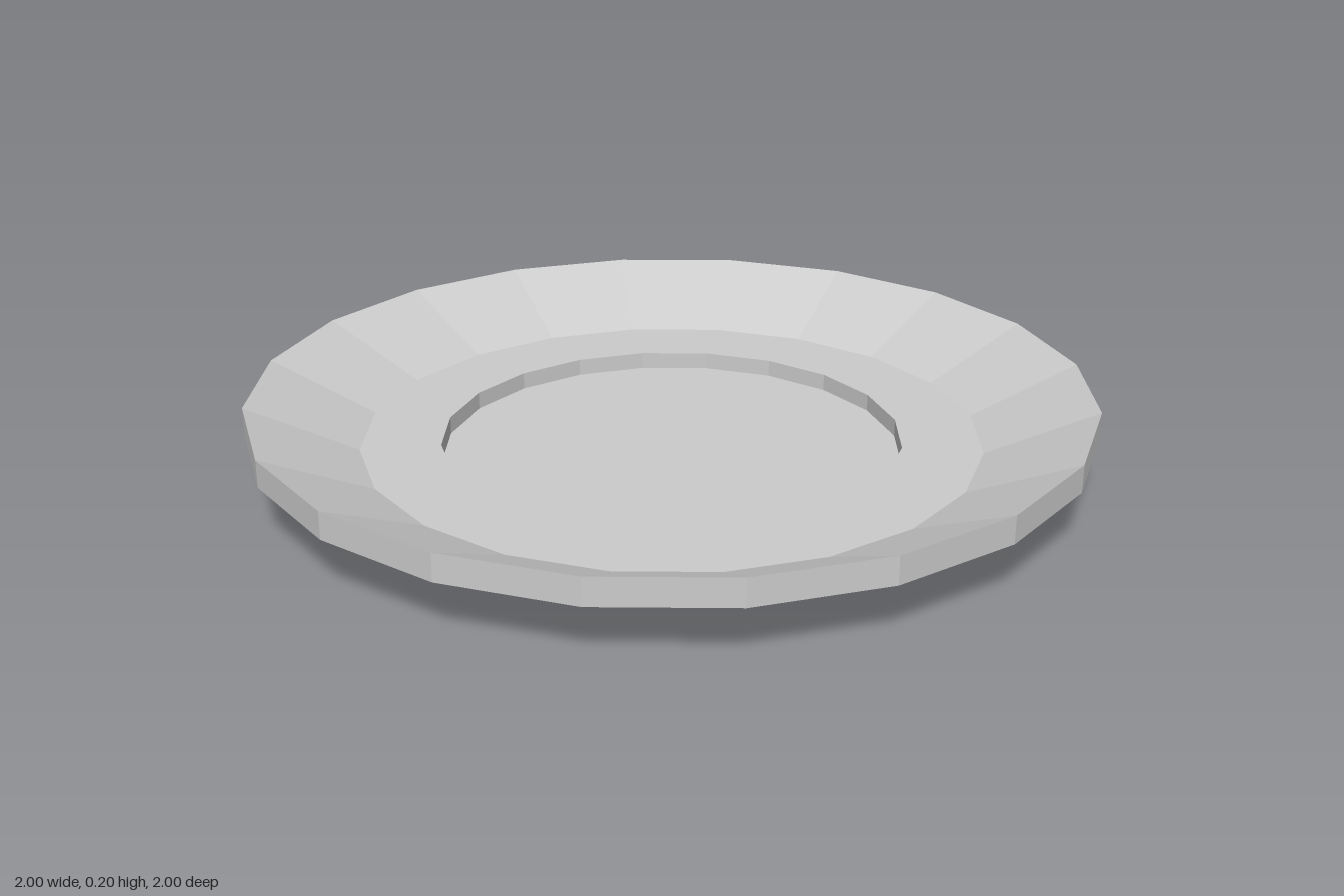
import * as THREE from 'three';

const SIDES = 20;

export function createModel() {
  const group = new THREE.Group();
  group.name = 'plate';

  // Closed cross-section, from the underside centre round to the well centre
  const profile = [
    [0, 0.03], [0.705, 0.03],   // recessed underside
    [0.705, 0], [0.74, 0],      // foot ring
    [0.74, 0.035], [1, 0.135],  // flared outside
    [1, 0.2], [0.74, 0.08],     // rim edge and sloping inside
    [0.55, 0.08], [0.55, 0.038], // flat ledge, step into the well
    [0, 0.038],                 // well floor
  ].map(([r, y]) => new THREE.Vector2(r, y));

  const material = new THREE.MeshStandardMaterial({ color: 0xcccccc, flatShading: true });
  const dish = new THREE.Mesh(new THREE.LatheGeometry(profile, SIDES), material);
  dish.name = 'dish';
  group.add(dish);
  return group;
}
